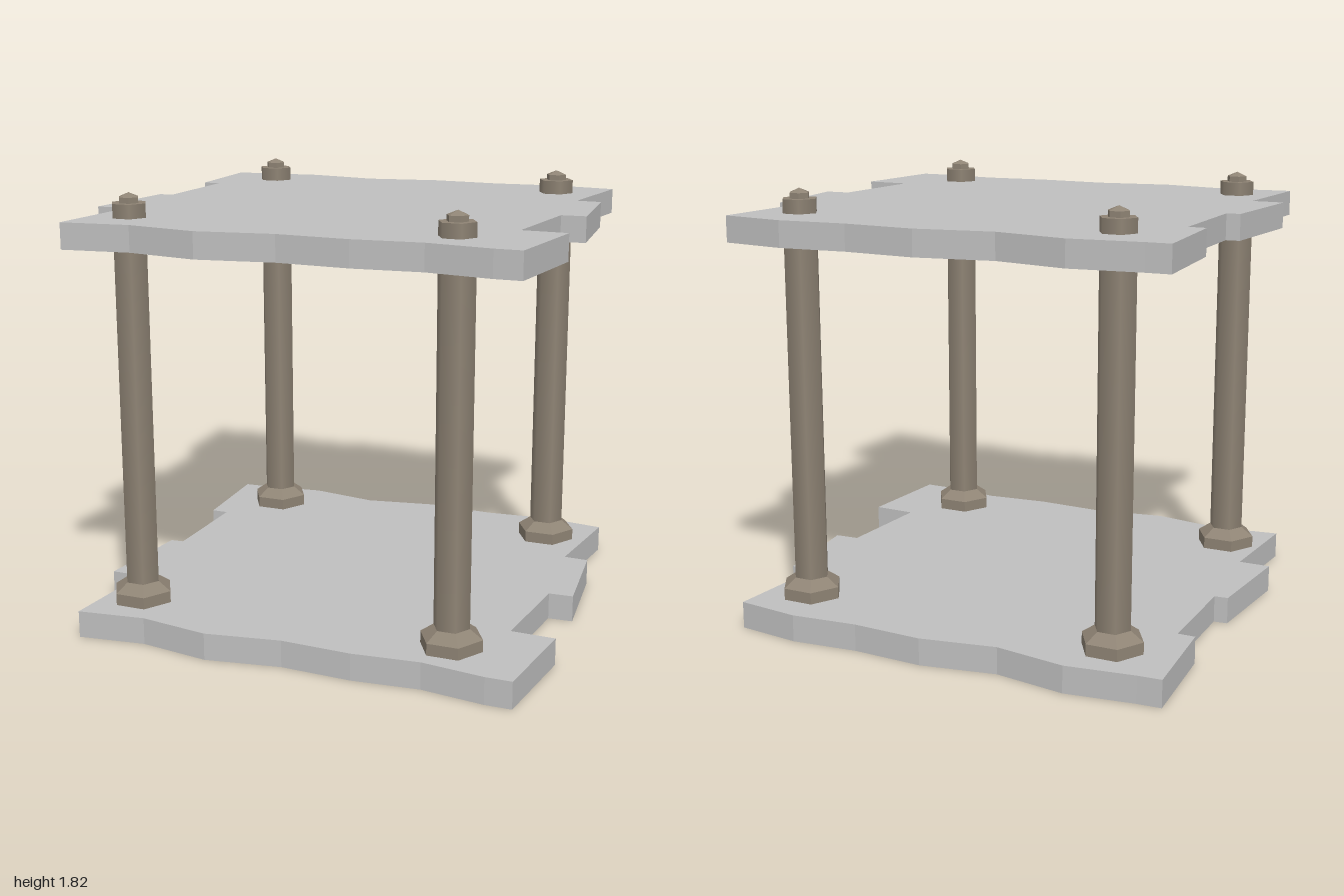
import * as THREE from 'three';

const plateMaterial = new THREE.MeshStandardMaterial({ color: 0xc0c0c0 });
plateMaterial.name = 'light grey plate';
const metalMaterial = new THREE.MeshStandardMaterial({ color: 0x8f8475 });
metalMaterial.name = 'bronze metal';

// Ragged plate outline as x, z pairs
const outline = [
  [-1, -0.88], [-0.9, -0.885], [-0.615, -0.92], [-0.315, -0.87], [0, -0.925],
  [0.3, -0.91], [0.58, -0.935], [0.85, -0.9], [0.8, -0.45], [0.905, -0.445],
  [0.953, 0], [0.85, 0.005], [0.813, 0.45], [1, 0.455], [0.955, 0.9],
  [0.845, 0.9], [0.58, 0.865], [0.3, 0.89], [0, 0.877], [-0.315, 0.928],
  [-0.615, 0.88], [-0.9, 0.915], [-0.865, 0.465], [-1, 0.465], [-0.957, 0.015],
  [-0.9, 0.01], [-0.9, -0.44], [-0.973, -0.44],
];

function makePlate(name, y0, y1) {
  const shape = new THREE.Shape(outline.map(([x, z]) => new THREE.Vector2(x, -z)));
  const geometry = new THREE.ExtrudeGeometry(shape, { depth: y1 - y0, bevelEnabled: false });
  geometry.rotateX(-Math.PI / 2);
  const plate = new THREE.Mesh(geometry, plateMaterial);
  plate.name = name;
  plate.position.y = y0;
  return plate;
}

// Six-sided section with corners pointing along x
function makeHex(name, rTop, rBottom, y0, y1, flat = true) {
  let geometry = new THREE.CylinderGeometry(rTop, rBottom, y1 - y0, 6);
  geometry.rotateY(Math.PI / 6);
  if (flat) {
    geometry = geometry.toNonIndexed();
    geometry.computeVertexNormals();
  }
  const mesh = new THREE.Mesh(geometry, metalMaterial);
  mesh.name = name;
  mesh.position.y = (y0 + y1) / 2;
  return mesh;
}

function makePost(name, x, z) {
  const post = new THREE.Group();
  post.name = name;
  post.add(
    makeHex('baseNut', 0.129, 0.129, 0.1, 0.162),
    makeHex('baseNutBevel', 0.075, 0.129, 0.162, 0.2),
    makeHex('rod', 0.075, 0.075, 0.1, 1.782, false),
    makeHex('tip', 0.043, 0.043, 1.782, 1.805),
    makeHex('tipPoint', 0, 0.043, 1.805, 1.823),
  );
  post.position.set(x, 0, z);
  return post;
}

export function createModel() {
  const model = new THREE.Group();
  model.name = 'twoTierStand';
  model.add(makePlate('bottomPlate', 0, 0.113), makePlate('topPlate', 1.618, 1.725));
  for (const [sideName, x] of [['Right', -0.724], ['Left', 0.643]]) {
    for (const [endName, z] of [['front', 0.686], ['back', -0.691]]) {
      model.add(makePost(`${endName}${sideName}Post`, x, z));
    }
  }
  return model;
}
